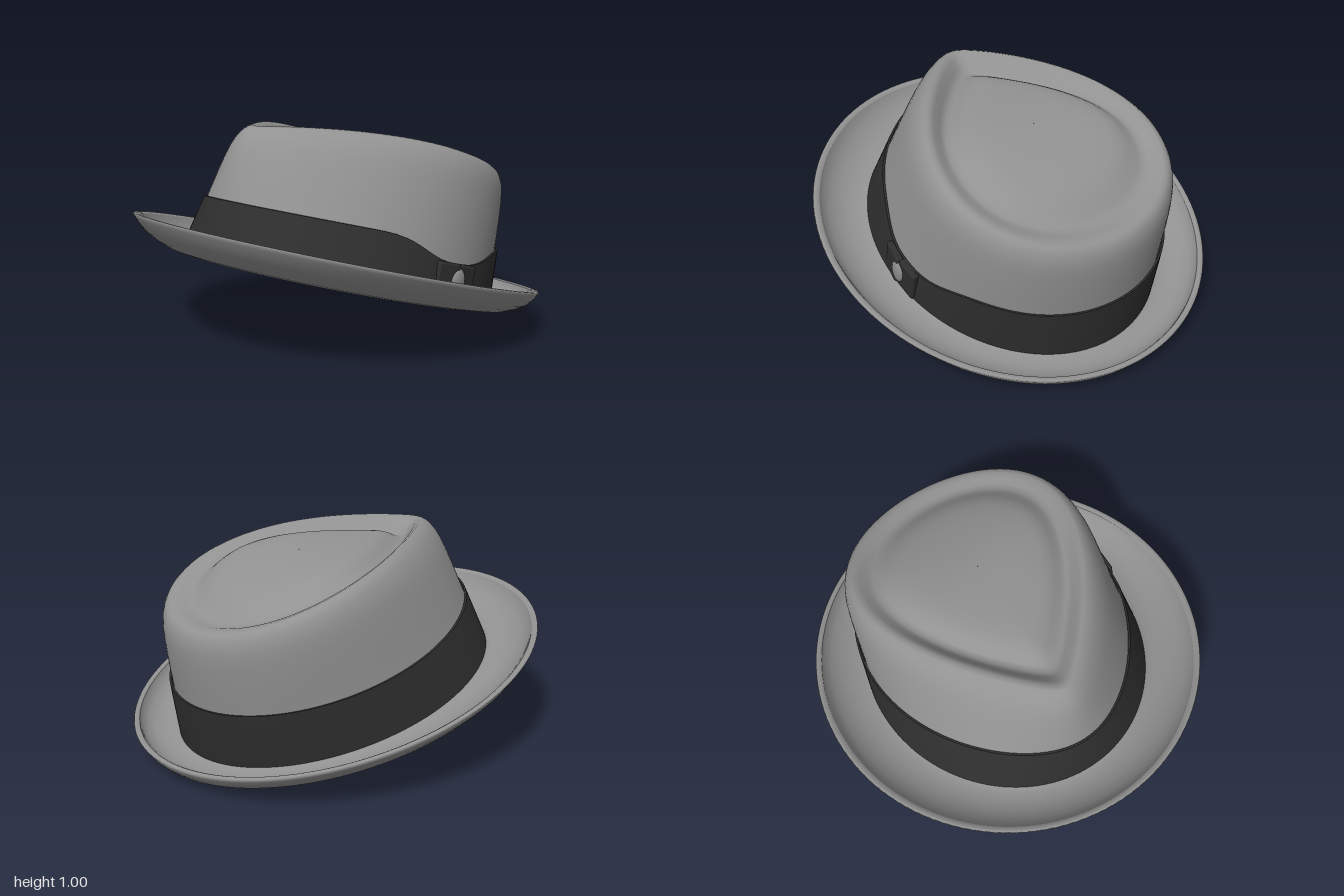
import * as THREE from 'three';
import { RoundedBoxGeometry } from 'three/addons/geometries/RoundedBoxGeometry.js';

const SEG = 128;
const SLOPE = 0.265; // the whole hat tips back: higher at the front
const plane = (z) => 0.355 + SLOPE * z;
const { lerp, smoothstep } = THREE.MathUtils;

const felt = new THREE.MeshStandardMaterial({ color: 0x929292, side: THREE.DoubleSide });
const ribbon = new THREE.MeshStandardMaterial({ color: 0x2e2e2e, side: THREE.DoubleSide });
const knotGrey = new THREE.MeshStandardMaterial({ color: 0x8c8c8c });

// Closed rings joined row by row; point(row, u) gives [x, y, z], u = 0 at the front.
function loft(name, rows, point, material) {
  const pos = [], index = [];
  rows.forEach((row, i) => {
    for (let j = 0; j < SEG; j++) {
      pos.push(...point(row, (j / SEG) * Math.PI * 2));
      if (i === 0) continue;
      const k = (j + 1) % SEG, a = (i - 1) * SEG, b = i * SEG;
      index.push(a + j, a + k, b + j, a + k, b + k, b + j);
    }
  });
  const geo = new THREE.BufferGeometry();
  geo.setAttribute('position', new THREE.Float32BufferAttribute(pos, 3));
  geo.setIndex(index);
  geo.computeVertexNormals();
  const mesh = new THREE.Mesh(geo, material);
  mesh.name = name;
  return mesh;
}

// Outlines seen from above: oval head opening, oval brim edge, teardrop crown ridge
const headOval = (u) => [0.675 * Math.sin(u), -0.005 + 0.773 * Math.cos(u)];
const brimOval = (u) => [0.947 * Math.sin(u), Math.cos(u)];
const teardrop = (u) => [
  0.645 * Math.sin(u) * Math.sqrt(Math.sin(u / 2) ** 2 + 0.08),
  -0.145 + 0.64 * Math.cos(u),
];
const ridgeHeight = (z) => 0.953 + 0.2 * z - 0.21 * z * z;

// Point on the crown wall: s from 0 (base) to 1 (ridge), g = bulge, out = outward offset
function wall(u, s, g, out = 0) {
  const [bx, bz] = headOval(u), [rx, rz] = teardrop(u);
  const push = 0.053 * g + out;
  return [
    lerp(bx, rx, s) + push * Math.sin(u),
    lerp(plane(bz) - 0.1, ridgeHeight(rz), s),
    lerp(bz, rz, s) + push * Math.cos(u),
  ];
}
const lowBulge = (s) => Math.min(1, 1.4 * s);
// Share of the wall lying at height h above the tilted plane
function wallShare(u, h) {
  const z = teardrop(u)[1];
  return (h + 0.1) / (ridgeHeight(z) - plane(z) + 0.1);
}

function makeCrown() {
  const rows = [
    // wall: share of height, bulge
    [0, 0], [0.12, 0.17], [0.25, 0.35], [0.38, 0.53], [0.5, 0.7], [0.63, 0.88], [0.75, 1],
    [0.83, 1.03], [0.89, 0.97], [0.94, 0.8], [0.97, 0.6], [0.99, 0.33], [1, 0],
  ].map(([s, g]) => ({ s, g }));
  // top: inset from the ridge, rise over the ridge surface (groove, then dome)
  for (const [k, rise] of [[0.05, -0.01], [0.1, -0.028], [0.15, -0.036], [0.2, -0.026],
    [0.26, -0.004], [0.32, 0.012], [0.4, 0.023], [0.55, 0.029], [0.75, 0.03], [0.9, 0.03], [0.999, 0.03]])
    rows.push({ k, rise });
  return loft('crown', rows, ({ s, g, k, rise }, u) => {
    if (k === undefined) return wall(u, s, g);
    const [rx, rz] = teardrop(u);
    const x = rx * (1 - k), z = lerp(rz, -0.2, k);
    // the dome sinks into a dent behind the front pinch
    const dent = 0.052 * smoothstep(z, -0.4, 0.3) * smoothstep(k, 0, 0.18);
    return [x, ridgeHeight(z) + rise - dent, z];
  }, felt);
}

function makeBrim() {
  // closed section: fraction across the brim, height over the plane (repeats make sharp edges)
  const section = [
    [-0.06, -0.07], [-0.06, -0.118], [-0.06, -0.118], [-0.02, -0.13], [0.06, -0.134], [0.2, -0.135],
    [0.4, -0.125], [0.6, -0.102], [0.78, -0.073], [0.9, -0.042], [0.97, -0.016], [1, -0.004],
    [0.985, 0.003], [0.93, 0.004], [0.88, -0.004], [0.88, -0.004], [0.83, -0.03], [0.72, -0.06],
    [0.55, -0.085], [0.35, -0.1], [0.15, -0.1], [0, -0.09], [-0.06, -0.07],
  ];
  return loft('brim', section, ([f, h], u) => {
    const [ax, az] = headOval(u), [bx, bz] = brimOval(u);
    const z = lerp(az, bz, f);
    return [lerp(ax, bx, f), plane(z) + h, z];
  }, felt);
}

// Ribbon around the crown, pinched down where the bow holds it
function makeBand() {
  const rows = [[0, 0.014], [0.25, 0.015], [0.5, 0.015], [0.75, 0.015], [1, 0.014], [1, 0.014], [1, 0.004]];
  return loft('hatBand', rows, ([t, out], u) => {
    const d = headOval(u)[1] + 0.12;
    const reach = Math.abs(d) / (d > 0 ? 0.235 : 0.28);
    const pinch = Math.sin(u) > 0 ? 0.09 * Math.exp(-(reach ** 3)) : 0;
    const s = t * wallShare(u, 0.16 - pinch);
    return wall(u, s, lowBulge(s), out);
  }, ribbon);
}

// Strip lining the head opening
function makeSweatband() {
  const rows = [[-0.1, -0.022], [-0.05, -0.022], [0, -0.022], [0, -0.022], [0, -0.003]];
  return loft('sweatband', rows, ([h, out], u) => {
    const s = wallShare(u, h);
    return wall(u, s, lowBulge(s), out);
  }, felt);
}

// Flat bow on the left side: two loops and a knot
function makeBow() {
  const bow = new THREE.Group();
  bow.name = 'bow';
  for (const side of [-1, 1]) {
    const loop = new THREE.Mesh(new RoundedBoxGeometry(0.035, 0.16, 0.125, 3, 0.012), ribbon);
    loop.name = 'bowLoop';
    loop.position.set(side < 0 ? 0.667 : 0.674, -0.01, side * 0.06);
    loop.rotation.y = side * -0.1;
    bow.add(loop);
  }
  const knot = new THREE.Mesh(new THREE.SphereGeometry(1, 24, 16), knotGrey);
  knot.name = 'bowKnot';
  knot.scale.set(0.018, 0.06, 0.045);
  knot.position.set(0.688, -0.01, 0);
  bow.add(knot);
  bow.position.set(0, plane(-0.115), -0.115);
  bow.rotation.x = -Math.atan(SLOPE);
  return bow;
}

export function createModel() {
  const hat = new THREE.Group();
  hat.name = 'hat';
  hat.add(makeCrown(), makeBrim(), makeBand(), makeSweatband(), makeBow());
  return hat;
}
